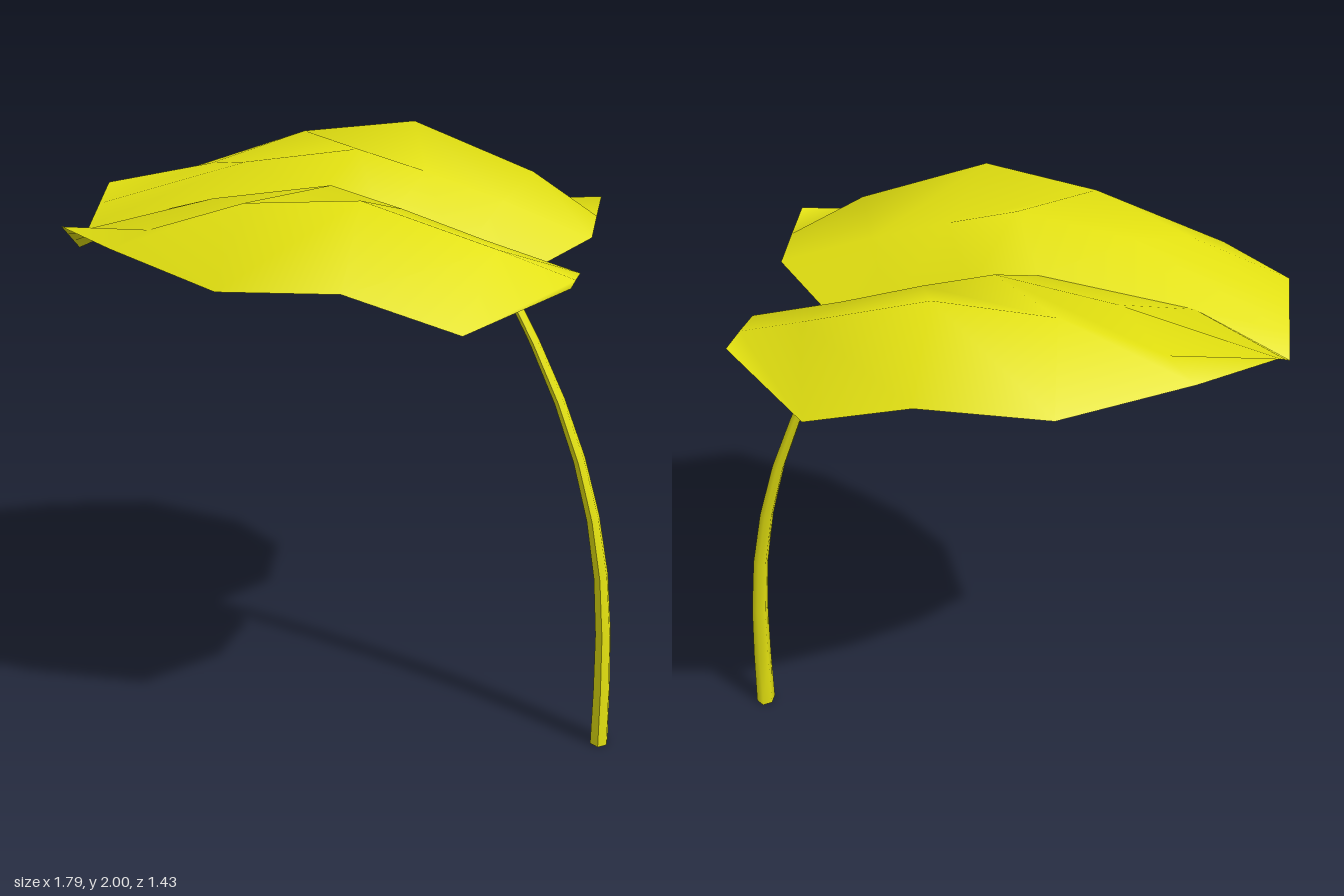
import * as THREE from 'three';

const yellow = new THREE.MeshStandardMaterial({ color: 0xe2e010, side: THREE.DoubleSide });
yellow.name = 'leafYellow';

// Cross-sections of half a leaf from tip to notch: vein, inner fold, ridge, rim as [x, y, z]
const SECTIONS = [
  [[-0.9, 1.64, 0], [-0.89, 1.69, 0.08], [-0.88, 1.74, 0.16], [-0.87, 1.79, 0.24]],
  [[-0.6, 1.79, 0], [-0.39, 1.9, 0.2], [-0.55, 1.84, 0.36], [-0.65, 1.795, 0.43]],
  [[-0.12, 1.86, 0], [-0.02, 1.965, 0.2], [-0.24, 1.957, 0.4], [-0.27, 1.76, 0.635]],
  [[0.1, 1.785, 0], [0.2, 1.905, 0.2], [0.12, 2.0, 0.44], [0.12, 1.81, 0.715]],
  [[0.35, 1.7, 0], [0.45, 1.825, 0.2], [0.52, 1.865, 0.4], [0.46, 1.69, 0.66]],
  [[0.53, 1.64, 0], [0.74, 1.73, 0.17], [0.74, 1.757, 0.31], [0.74, 1.78, 0.45]],
];

// One half of the leaf; side is 1 (front) or -1 (back)
function leafHalf(side) {
  const cols = SECTIONS[0].length;
  const positions = SECTIONS.flat().flatMap(([x, y, z]) => [x, y, z * side]);
  const index = [];
  for (let i = 0; i < SECTIONS.length - 1; i++) {
    for (let j = 0; j < cols - 1; j++) {
      const a = i * cols + j, b = a + 1, c = a + cols, d = c + 1;
      if (side > 0) index.push(a, b, c, b, d, c);
      else index.push(a, c, b, b, c, d);
    }
  }
  const geo = new THREE.BufferGeometry();
  geo.setAttribute('position', new THREE.Float32BufferAttribute(positions, 3));
  geo.setIndex(index);
  geo.computeVertexNormals();
  return geo;
}

// Six-sided stalk, bent along a curve and tapered towards the leaf
function stalk() {
  const curve = new THREE.CatmullRomCurve3([
    [0.865, 0], [0.86, 0.38], [0.842, 0.62], [0.807, 0.83], [0.752, 1.04],
    [0.688, 1.22], [0.6, 1.42], [0.497, 1.622],
  ].map(([x, y]) => new THREE.Vector3(x, y, 0)));
  const geo = new THREE.CylinderGeometry(1, 1, 1, 6, 8);
  const pos = geo.attributes.position;
  for (let i = 0; i < pos.count; i++) {
    const t = THREE.MathUtils.clamp(pos.getY(i) + 0.5, 0, 1);
    const p = curve.getPointAt(t);
    const dir = curve.getTangentAt(t);
    const across = pos.getX(i) * THREE.MathUtils.lerp(0.032, 0.013, t);
    const depth = pos.getZ(i) * THREE.MathUtils.lerp(0.04, 0.024, t);
    pos.setXYZ(i, p.x + across * dir.y, Math.max(0, p.y - across * dir.x), 0.013 + depth);
  }
  geo.computeVertexNormals();
  return geo;
}

export function createModel() {
  const model = new THREE.Group();
  model.name = 'leafOnStalk';
  const add = (name, geo) => {
    const mesh = new THREE.Mesh(geo, yellow);
    mesh.name = name;
    model.add(mesh);
  };
  add('leafFrontHalf', leafHalf(1));
  add('leafBackHalf', leafHalf(-1));
  add('stalk', stalk());
  return model;
}
